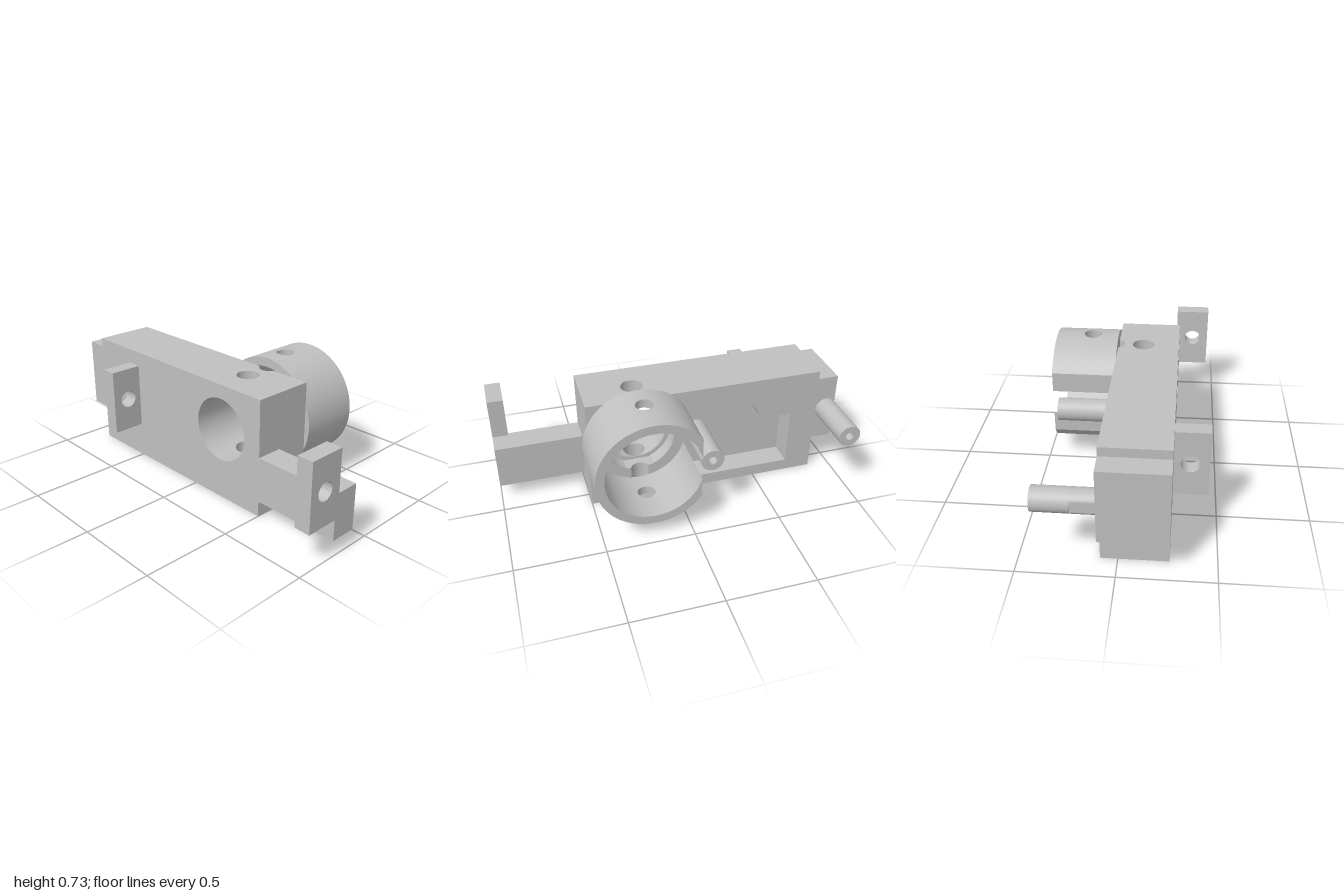
import * as THREE from 'three';
import { mergeGeometries, toCreasedNormals } from 'three/addons/utils/BufferGeometryUtils.js';

const gray = new THREE.MeshStandardMaterial({ color: 0xc0c0c0 });
gray.name = 'machined gray';

const BORE_Z = 0.21, BORE_Y = 0.41;   // axis of the ring and bore, along x
const S = -BORE_Z;                    // side profiles use s = -z
const HALF = 0.08;                    // half width of the drilled strips
const BACK = -0.26, FACE = 0.09, STEP = 0.01, TOP = 0.67;

export function createModel() {
  const group = new THREE.Group();
  const add = (name, ...geometries) => {
    const plain = geometries.map((g) => (g.index ? g.toNonIndexed() : g));
    plain.forEach((g) => { g.deleteAttribute('uv'); g.clearGroups(); });
    const mesh = new THREE.Mesh(toCreasedNormals(mergeGeometries(plain), Math.PI / 6), gray);
    mesh.name = name;
    group.add(mesh);
  };

  // Main block: pocketed half
  const pocketPlate = polygon([[0.02, 0], [0.87, 0], [0.87, TOP], [0.02, TOP]]);
  const pocket = new THREE.Path();
  pocket.moveTo(0.04, 0.07);
  pocket.lineTo(0.71, 0.07);
  pocket.lineTo(0.71, 0.41);
  pocket.lineTo(0.51, 0.41);
  pocket.absarc(0.375, 0.41, 0.135, 0, Math.PI, false);
  pocket.lineTo(0.04, 0.41);
  pocket.closePath();
  pocketPlate.holes.push(pocket);
  add('pocketPlate', extrudeX(pocketPlate, -0.05, FACE));
  add('pocketFloor', box(BACK, -0.05, 0, TOP, -0.87, -0.02));

  // Main block: bored half, with a wider counterbore at the face
  for (const [name, r, x0, x1] of [['boreBlock', 0.18, BACK, STEP], ['counterbore', 0.205, STEP, FACE]]) {
    add(name, extrudeX(boreSide(1, 0.02, r), x0, x1), extrudeX(boreSide(-1, -0.5, r), x0, x1));
  }
  add('blockScrewHole',
    drilled(BACK, STEP, -0.055, 0.063, () => TOP, (z) => BORE_Y + arcHeight(0.18, z)),
    drilled(BACK, STEP, -0.055, 0.063, (z) => BORE_Y - arcHeight(0.18, z), () => 0));
  add('faceGroove', groovePlug(0, 0.215), groovePlug(0.605, TOP));

  // End block, arm and mounting tabs
  add('endBlock', box(BACK, FACE, 0.21, 0.62, -0.99, -0.87));
  add('arm', box(BACK, -0.11, 0.09, 0.348, 0.5, 1));
  add('armTab', tab(-0.24, 0.91, 1));
  add('rearTab', tab(BACK, -0.585, -0.5));

  // Ring, flattened on one side and drilled at top and bottom
  const R = 0.32, r = 0.27;
  const edge = (q) => Math.acos(HALF / q);
  const flat = (q) => Math.acos(0.26 / q);
  add('ring',
    extrudeX(band(R, r, (q) => [Math.PI - edge(q), Math.PI + edge(q)]), FACE, 0.445),
    extrudeX(band(R, r, (q) => [flat(q), edge(q)]), FACE, 0.445),
    extrudeX(band(R, r, (q) => [-edge(q), -flat(q)]), FACE, 0.445),
    drilled(FACE, 0.445, 0.24, 0.05, (z) => BORE_Y + arcHeight(R, z), (z) => BORE_Y + arcHeight(r, z)),
    drilled(FACE, 0.445, 0.24, 0.05, (z) => BORE_Y - arcHeight(r, z), (z) => BORE_Y - arcHeight(R, z)));

  // Hollow pegs; the end one has a shallow flat near its base
  add('innerPeg', peg(-0.123, FACE, 0.4));
  const base = peg(-0.935, FACE, 0.21), p = base.attributes.position;
  for (let i = 0; i < p.count; i++) p.setZ(i, Math.max(p.getZ(i), -0.99));
  add('endPegBase', base);
  add('endPeg', peg(-0.935, 0.21, 0.4));
  return group;
}

function arcHeight(radius, z) {
  return Math.sqrt(radius * radius - z * z);
}

function box(x0, x1, y0, y1, z0, z1) {
  return new THREE.BoxGeometry(x1 - x0, y1 - y0, z1 - z0)
    .translate((x0 + x1) / 2, (y0 + y1) / 2, (z0 + z1) / 2);
}

function polygon(points) {
  return new THREE.Shape(points.map(([x, y]) => new THREE.Vector2(x, y)));
}

function circle(x, y, radius) {
  return new THREE.Path().absarc(x, y, radius, 0, Math.PI * 2, false);
}

function extrude(shape, depth) {
  return new THREE.ExtrudeGeometry(shape, { depth, bevelEnabled: false, curveSegments: 40 });
}

// Side profile (-z, y) swept along x
function extrudeX(shape, x0, x1) {
  return extrude(shape, x1 - x0).rotateY(Math.PI / 2).translate(x0, 0, 0);
}

// Part of the block on one side of the bore
function boreSide(d, outer, radius) {
  const a = Math.acos(HALF / radius), inner = S + d * HALF;
  const shape = new THREE.Shape();
  shape.moveTo(inner, 0);
  shape.lineTo(outer, 0);
  shape.lineTo(outer, TOP);
  shape.lineTo(inner, TOP);
  if (d > 0) shape.absarc(S, BORE_Y, radius, a, -a, true);
  else shape.absarc(S, BORE_Y, radius, Math.PI - a, Math.PI + a, false);
  shape.closePath();
  return shape;
}

// Slice of the ring wall between two angles
function band(outer, inner, angles) {
  const [a0, a1] = angles(outer), [b0, b1] = angles(inner);
  const shape = new THREE.Shape();
  shape.absarc(S, BORE_Y, outer, a0, a1, false);
  shape.absarc(S, BORE_Y, inner, b1, b0, true);
  shape.closePath();
  return shape;
}

// Strip of the block face with a half-round vertical groove
function groovePlug(y0, y1) {
  const a = Math.acos(0.02 / 0.055);
  const shape = new THREE.Shape();
  shape.moveTo(STEP, S - HALF);
  shape.lineTo(FACE, S - HALF);
  shape.absarc(0.11, S, 0.055, Math.PI + a, Math.PI - a, true);
  shape.lineTo(FACE, S + HALF);
  shape.lineTo(STEP, S + HALF);
  shape.closePath();
  return extrude(shape, y1 - y0).rotateX(-Math.PI / 2).translate(0, y0, 0);
}

function tab(x1, z0, z1) {
  const shape = polygon([[-0.445, 0.207], [x1, 0.207], [x1, 0.585], [-0.445, 0.585]]);
  shape.holes.push(circle(-0.345, 0.397, 0.05));
  return extrude(shape, z1 - z0).translate(0, 0, z0);
}

function peg(z, x0, x1) {
  const shape = new THREE.Shape().absarc(-z, 0.412, 0.064, 0, Math.PI * 2, false);
  shape.holes.push(circle(-z, 0.412, 0.025));
  return extrudeX(shape, x0, x1);
}

// Strip with a vertical round hole; top and bottom heights follow z
function drilled(x0, x1, hx, hr, top, bottom) {
  const angles = Array.from({ length: 72 }, (_, k) => -Math.PI + (k / 72) * Math.PI * 2);
  for (const x of [x0, x1]) for (const z of [-HALF, HALF]) angles.push(Math.atan2(z, x - hx));
  angles.sort((a, b) => a - b);
  const n = angles.length, steps = 5, loops = [];
  for (let i = 0; i <= steps; i++) loops.push([1 - i / steps, top]);
  for (let i = 0; i <= steps; i++) loops.push([i / steps, bottom]);
  const positions = [], index = [];
  loops.forEach(([t, height], i) => angles.forEach((angle, k) => {
    const c = Math.cos(angle), s = Math.sin(angle);
    const reach = Math.min((c > 0 ? x1 - hx : hx - x0) / Math.max(Math.abs(c), 1e-6),
      HALF / Math.max(Math.abs(s), 1e-6));
    const d = hr + (reach - hr) * t;
    positions.push(hx + c * d, height(s * d), BORE_Z + s * d);
    const i2 = (i + 1) % loops.length, k2 = (k + 1) % n;
    const a = i * n + k, b = i2 * n + k, e = i2 * n + k2, f = i * n + k2;
    index.push(a, b, f, b, e, f);
  }));
  const geometry = new THREE.BufferGeometry();
  geometry.setAttribute('position', new THREE.Float32BufferAttribute(positions, 3));
  geometry.setIndex(index);
  geometry.computeVertexNormals();
  return geometry;
}
